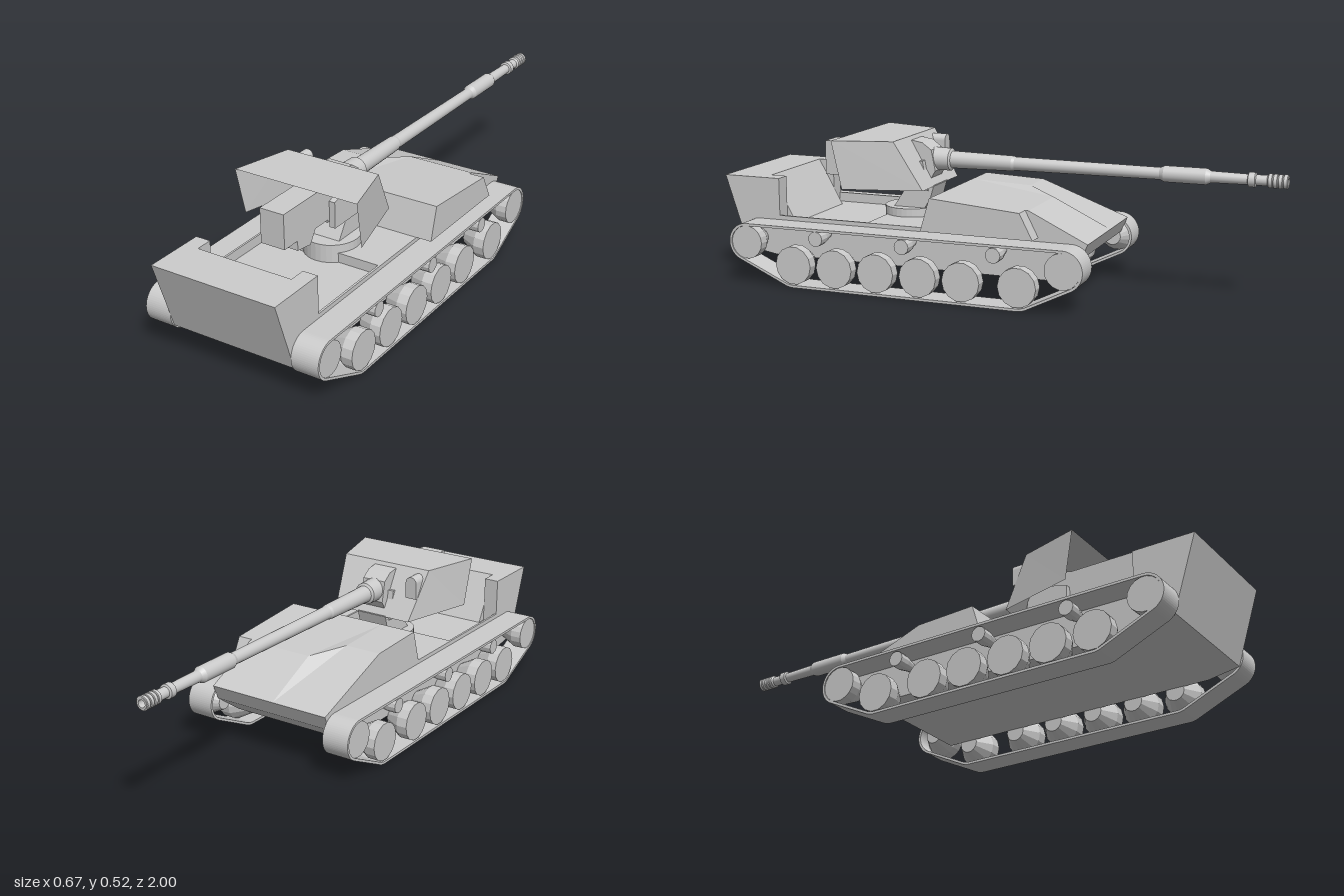
import * as THREE from 'three';

const material = new THREE.MeshStandardMaterial({ color: 0xcccccc, flatShading: true });
const smooth = new THREE.MeshStandardMaterial({ color: 0xcccccc });
const thin = new THREE.MeshStandardMaterial({ color: 0xcccccc, flatShading: true, side: THREE.DoubleSide });

export function createModel() {
  const model = new THREE.Group();

  function add(name, geometry, mat = material) {
    const mesh = new THREE.Mesh(geometry, mat);
    mesh.name = name;
    model.add(mesh);
    return mesh;
  }

  // Side profile of [z, y] points (or a Shape) extruded from x0 to x1
  function slab(name, profile, x0, x1) {
    const shape = profile instanceof THREE.Shape ? profile
      : new THREE.Shape(profile.map(([z, y]) => new THREE.Vector2(z, y)));
    const geometry = new THREE.ExtrudeGeometry(shape, { depth: x1 - x0, bevelEnabled: false, curveSegments: 14 });
    add(name, geometry.rotateY(-Math.PI / 2).translate(x1, 0, 0));
  }

  // The same slab on both sides of the model
  function slabPair(name, profile, x0, x1) {
    slab(name + 'Left', profile, x0, x1);
    slab(name + 'Right', profile, -x1, -x0);
  }

  // Flat polygons given as loops of corners
  function facets(name, polygons, mat) {
    const positions = [];
    for (const p of polygons) {
      for (let i = 1; i < p.length - 1; i++) positions.push(...p[0], ...p[i], ...p[i + 1]);
    }
    const geometry = new THREE.BufferGeometry();
    geometry.setAttribute('position', new THREE.Float32BufferAttribute(positions, 3));
    geometry.computeVertexNormals();
    add(name, geometry, mat);
  }

  // Hull: core with sloped rear wall, shoulders with corner blocks, outer rails
  const underside = [[1, 0.37], [0.915, 0.11], [0.8, 0.09], [-0.25, 0.09], [-0.36, 0.17], [-0.385, 0.225], [-0.2, 0.235]];
  const wellFront = [[0.43, 0.235], [0.43, 0.2]];
  slab('hullCore', [...underside, ...wellFront, [0.745, 0.2], [0.84, 0.37]], -0.18, 0.18);
  slabPair('hullShoulder', [...underside, ...wellFront, [0.78, 0.2], [0.78, 0.37]], 0.18, 0.227);
  slabPair('hullRail', [...underside, [0.78, 0.235], [0.78, 0.37]], 0.227, 0.235);

  // Front superstructure: top edge steps back on the right-hand side
  const columns = [[-0.235, -0.06, 0.344], [-0.1, -0.06, 0.344], [-0.02, -0.175, 0.325], [0.235, -0.175, 0.325]]
    .map(([x, z, y]) => [[x, 0.235, 0.2], [x, 0.353, 0.165], [x, y, z], [x, 0.225, -0.385]]);
  const roof = [];
  for (let i = 0; i < 3; i++) {
    for (let j = 0; j < 3; j++) {
      const a = columns[i], b = columns[i + 1];
      roof.push([a[j], b[j], b[j + 1]], [a[j], b[j + 1], a[j + 1]]);
    }
  }
  facets('superstructure', [...roof, columns[0], [...columns[3]].reverse()], material);
  slab('sideSponson', [[0.2, 0.235], [0.165, 0.353], [-0.163, 0.326], [-0.21, 0.235]], 0.235, 0.292);

  // Tracks: a thin belt wrapped around the end wheels and road wheels
  function beltPath(path, inset) {
    const deg = Math.PI / 180;
    path.absarc(0.862, 0.15, 0.069 - inset, -70 * deg, 90 * deg);
    path.absarc(-0.328, 0.15, 0.072 - inset, 90 * deg, 246 * deg);
    path.absarc(-0.168, 0.08, 0.08 - inset, 246 * deg, 270 * deg);
    path.absarc(0.677, 0.08, 0.08 - inset, 270 * deg, 290 * deg);
    path.closePath();
    return path;
  }
  const belt = beltPath(new THREE.Shape(), 0);
  belt.holes.push(beltPath(new THREE.Path(), 0.009));
  slabPair('trackBelt', belt, 0.235, 0.335);

  // Wheels: an outer disc tapering to a hub at the hull
  function wheel(name, side, z, y, r, sides) {
    const profile = [[0, 0], [r * 0.5, 0], [r, 0.06], [r, 0.1], [0, 0.1]]
      .map(([a, b]) => new THREE.Vector2(a, b));
    const mesh = add(name, new THREE.LatheGeometry(profile, sides));
    mesh.rotation.z = -side * Math.PI / 2;
    mesh.position.set(side * 0.232, y, z);
  }
  for (const side of [-1, 1]) {
    for (const z of [0.677, 0.516, 0.356, 0.195, 0.035, -0.168]) wheel('roadWheel', side, z, 0.08, 0.069, 14);
    for (const z of [0.586, 0.254, -0.083]) wheel('returnRoller', side, z, 0.183, 0.027, 12);
    wheel('rearIdler', side, 0.862, 0.15, 0.06, 18);
    wheel('frontSprocket', side, -0.328, 0.15, 0.063, 18);
  }

  // Gun mount: ring, pedestal and cheeks
  add('turntable', new THREE.CylinderGeometry(0.1, 0.1, 0.065, 32).translate(0, 0.2325, 0.36));
  slab('pedestal', [[0.41, 0.26], [0.29, 0.26], [0.265, 0.3], [0.25, 0.35], [0.39, 0.35], [0.37, 0.32]], -0.06, 0.06);
  slabPair('trunnionCheek', [[0.44, 0.33], [0.27, 0.33], [0.29, 0.437], [0.4, 0.437], [0.44, 0.425]], 0.046, 0.068);

  // Gun shield: roof, sloped front and two sides, open at the back
  const [rearTop, frontTop, frontFoot, rearFoot] =
    [[0.237, 0.52, 0.565], [0.18, 0.52, 0.35], [0.157, 0.347, 0.25], [0.23, 0.347, 0.53]];
  const mirror = ([x, y, z]) => [-x, y, z];
  const shieldSide = [rearTop, rearFoot, frontFoot, frontTop];
  facets('gunShield', [
    [rearTop, frontTop, mirror(frontTop), mirror(rearTop)],
    [frontTop, frontFoot, mirror(frontFoot), mirror(frontTop)],
    shieldSide,
    shieldSide.map(mirror).reverse(),
  ], thin);

  // Arched sight housing through the shield front
  const arch = new THREE.Shape();
  arch.moveTo(-0.022, 0);
  arch.lineTo(0.022, 0);
  arch.absarc(0, 0.058, 0.022, 0, Math.PI);
  arch.closePath();
  add('sightHousing', new THREE.ExtrudeGeometry(arch, { depth: 0.06, bevelEnabled: false }).translate(-0.145, 0.425, 0.285));

  // Breech and mantlet
  add('breech', new THREE.BoxGeometry(0.092, 0.125, 0.34).translate(0, 0.4225, 0.52));
  slab('breechGuard', [[0.62, 0.36], [0.62, 0.325], [0.55, 0.315], [0.52, 0.36]], -0.046, 0.046);
  slab('mantlet', [[0.45, 0.485], [0.35, 0.508], [0.3, 0.5], [0.265, 0.475], [0.25, 0.4], [0.28, 0.35], [0.45, 0.35]], -0.046, 0.046);

  // Barrel turned from [distance forward, radius] steps
  const steps = [[-0.3, 0], [-0.3, 0.043], [-0.205, 0.04], [-0.2, 0.031], [0.03, 0.027], [0.04, 0.024], [0.565, 0.021],
    [0.58, 0.028], [0.725, 0.028], [0.74, 0.02], [0.865, 0.018], [0.868, 0.025], [0.89, 0.025], [0.893, 0.018], [0.93, 0.018]];
  for (let i = 0; i < 4; i++) {
    const s = 0.935 + i * 0.017;
    steps.push([s, 0.024], [s + 0.011, 0.024], [s + 0.012, 0.02]);
  }
  steps.push([1, 0.02], [1, 0.013], [0.95, 0.013], [0.95, 0]);
  // Doubled points keep the step edges crisp
  const turned = steps.flatMap(([s, r]) => [new THREE.Vector2(r, s), new THREE.Vector2(r, s)]).slice(1, -1);
  const barrel = add('barrel', new THREE.LatheGeometry(turned, 24), smooth);
  barrel.rotation.x = -Math.PI / 2;
  barrel.position.y = 0.438;

  return model;
}
